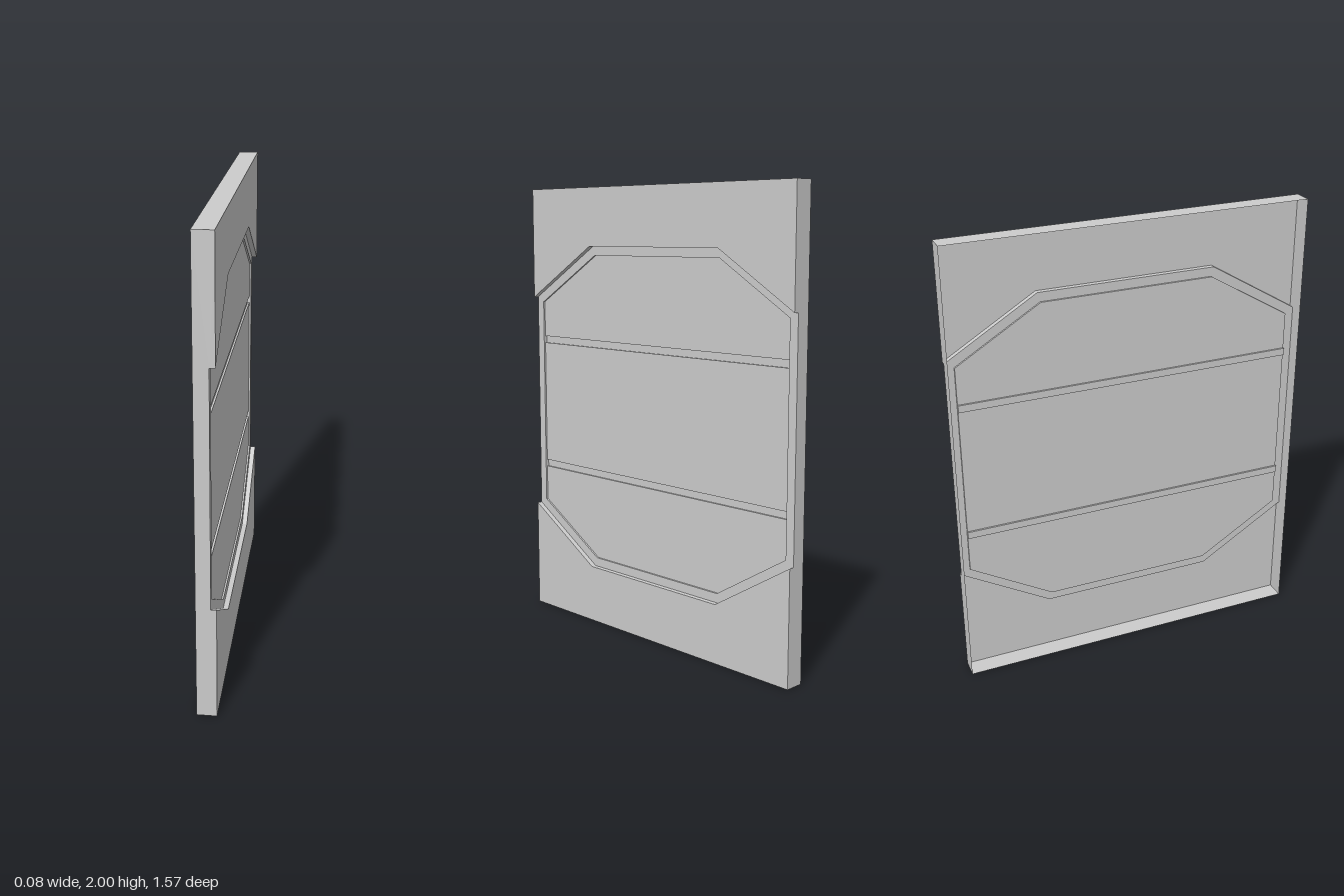
import * as THREE from 'three';

const W = 0.787, H = 2;              // half width along z, height
const BACK = -0.042, FACE = 0.042;   // open back edge, outer face
const RIM = 0.019, PANEL = 0.011, GROOVE = 0.003; // stepped recess depths

const material = new THREE.MeshStandardMaterial({
  color: 0xcccccc, side: THREE.DoubleSide, flatShading: true,
});

// Upper half of each eight-sided outline, as [z, y - 1]
const outerTop = [[W, 0.5], [0.39, 0.74], [-0.39, 0.74], [-W, 0.5]];
const innerTop = [[0.747, 0.478], [0.379, 0.7], [-0.379, 0.7], [-0.747, 0.478]];
const upper = (half) => half.map(([z, y]) => [z, 1 + y]);
const lower = (half) => half.map(([z, y]) => [-z, 1 - y]);
const ring = (half) => [...upper(half), ...lower(half)];

const vectors = (pts) => pts.map(([a, b]) => new THREE.Vector2(a, b));

export function createModel() {
  const group = new THREE.Group();

  function add(name, geometry) {
    const mesh = new THREE.Mesh(geometry, material);
    mesh.name = name;
    group.add(mesh);
    return mesh;
  }

  // Flat sheet facing +x, outlined by [z, y] points
  function sheet(name, pts, x, hole) {
    const flip = (p) => vectors(p.map(([z, y]) => [-z, y]));
    const shape = new THREE.Shape(flip(pts));
    if (hole) shape.holes.push(new THREE.Path(flip(hole)));
    add(name, new THREE.ShapeGeometry(shape).rotateY(Math.PI / 2).translate(x, 0, 0));
  }

  // Wall following [z, y] points between two depths
  function wall(name, pts, xFront, xBack, closed = false) {
    const path = closed ? [...pts, pts[0]] : pts;
    const pos = [];
    for (let i = 0; i < path.length - 1; i++) {
      const [z0, y0] = path[i], [z1, y1] = path[i + 1];
      pos.push(xFront, y0, z0, xBack, y0, z0, xBack, y1, z1);
      pos.push(xFront, y0, z0, xBack, y1, z1, xFront, y1, z1);
    }
    const g = new THREE.BufferGeometry();
    g.setAttribute('position', new THREE.Float32BufferAttribute(pos, 3));
    g.computeVertexNormals();
    add(name, g);
  }

  // Outer face above and below the recess, with the step down to the rim
  sheet('upperFace', [[-W, H], [W, H], ...upper(outerTop)], FACE);
  sheet('lowerFace', [[W, 0], [-W, 0], ...lower(outerTop)], FACE);
  wall('upperRecessStep', upper(outerTop), FACE, RIM);
  wall('lowerRecessStep', lower(outerTop), FACE, RIM);

  // Rim around the inner panel
  sheet('rim', ring(outerTop), RIM, ring(innerTop));
  wall('rimStep', ring(innerTop), RIM, PANEL, true);

  // Inner panel in three fields, divided by two horizontal grooves
  const s = innerTop[0][0], half = 0.016, grooves = [0.7, 1.3];
  sheet('upperPanel', [...upper(innerTop), [-s, 1.3 + half], [s, 1.3 + half]], PANEL);
  sheet('middlePanel', [[s, 0.7 + half], [s, 1.3 - half], [-s, 1.3 - half], [-s, 0.7 + half]], PANEL);
  sheet('lowerPanel', [...lower(innerTop), [s, 0.7 - half], [-s, 0.7 - half]], PANEL);
  for (const y of grooves) {
    const outline = [[s, y - half], [s, y + half], [-s, y + half], [-s, y - half]];
    sheet('grooveFloor', outline, GROOVE);
    wall('grooveWall', outline, PANEL, GROOVE, true);
  }

  // Edge walls: notched sides, plain top and bottom; the back stays open
  const profile = [[BACK, 0], [FACE, 0], [FACE, 0.5], [RIM, 0.5],
    [RIM, 1.5], [FACE, 1.5], [FACE, H], [BACK, H]];
  for (const side of [1, -1]) {
    const g = new THREE.ShapeGeometry(new THREE.Shape(vectors(profile)));
    if (side < 0) g.rotateY(Math.PI).scale(-1, 1, 1);
    const index = g.index.array;
    if (side < 0) index.reverse(); // keep the mirrored wall facing outward
    g.computeVertexNormals();
    add(side > 0 ? 'frontEdge' : 'backEdge', g.translate(0, 0, side * W));
  }
  wall('topEdge', [[W, H], [-W, H]], FACE, BACK);
  wall('bottomEdge', [[-W, 0], [W, 0]], FACE, BACK);

  return group;
}
